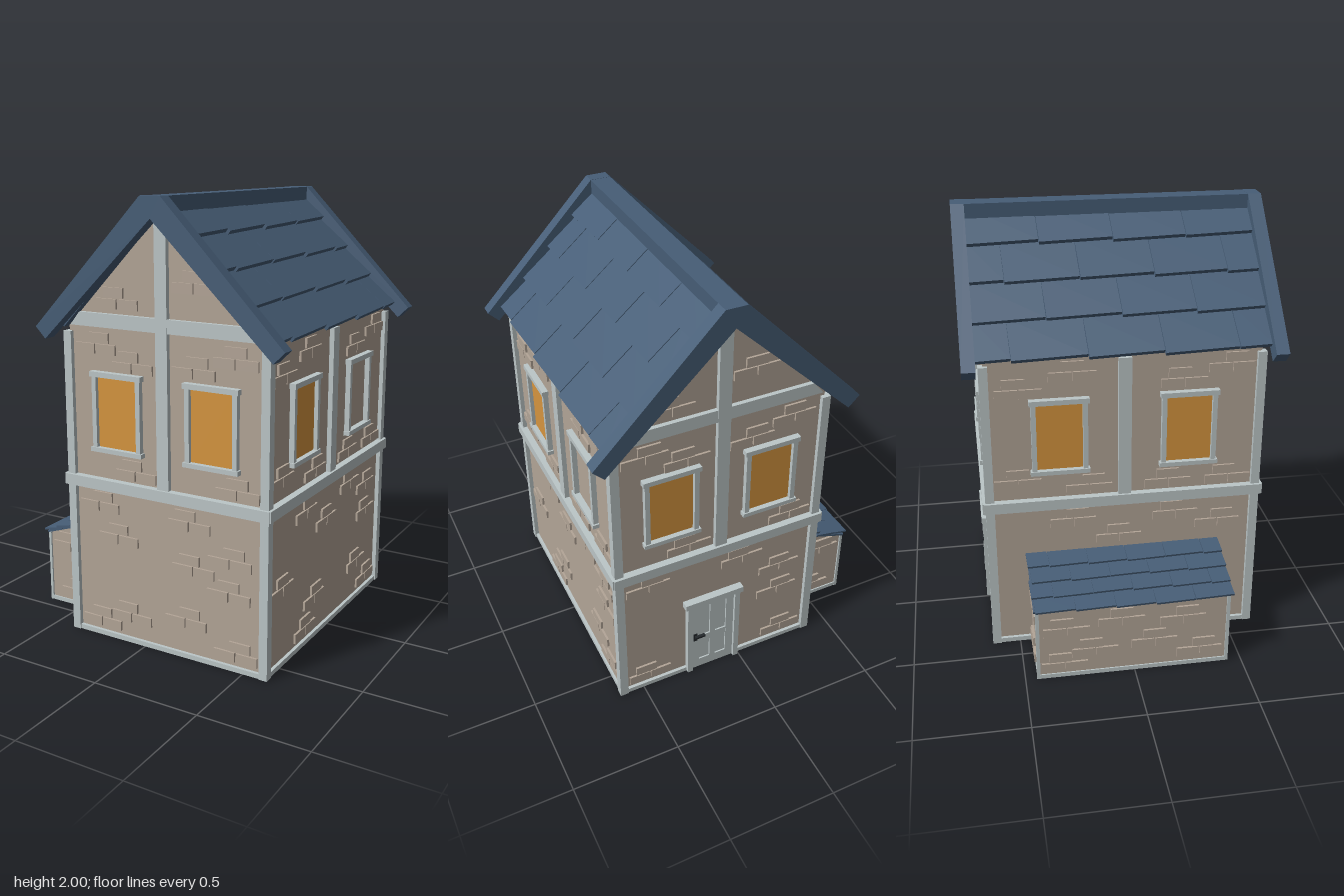
import * as THREE from 'three';
import { mergeGeometries } from 'three/addons/utils/BufferGeometryUtils.js';

const mat = (name, color, side = THREE.FrontSide) => {
  const m = new THREE.MeshStandardMaterial({ color, side });
  m.name = name;
  return m;
};

export function createModel() {
  const stone = mat('stone', 0xb3a597, THREE.DoubleSide);
  const trim = mat('pale trim', 0xbcc6c7);
  const glow = mat('amber glass', 0xd6953f);
  const slate = mat('blue slate', 0x465d76);
  const iron = mat('dark iron', 0x24282c);

  const model = new THREE.Group();
  model.name = 'house';
  const CX = 0.11;               // centre line of the main house
  const HW = 0.49, HD = 0.61;    // half width and half depth of its walls

  const add = (parent, name, geometry, material) => {
    const mesh = new THREE.Mesh(geometry, material);
    mesh.name = name;
    parent.add(mesh);
    return mesh;
  };
  const group = (parent, name, x = 0, y = 0, z = 0, ry = 0) => {
    const g = new THREE.Group();
    g.name = name;
    g.position.set(x, y, z);
    g.rotation.y = ry;
    parent.add(g);
    return g;
  };
  // Box given by its min and max corners
  const block = (x0, x1, y0, y1, z0, z1) =>
    new THREE.BoxGeometry(x1 - x0, y1 - y0, z1 - z0)
      .translate((x0 + x1) / 2, (y0 + y1) / 2, (z0 + z1) / 2);
  const outline = pts => new THREE.Shape(pts.map(p => new THREE.Vector2(...p)));

  // Clusters of three bricks: [centre, bottom]
  const addBricks = (parent, spots) => {
    const parts = spots.flatMap(([u, y], i) => {
      const shift = (i % 3 - 1) * 0.02;
      return [[-0.054, 0], [0.054, 0], [shift, 0.049]].map(([du, dy]) =>
        block(u + du - 0.051, u + du + 0.051, y + dy, y + dy + 0.044, -0.012, 0.01));
    });
    add(parent, 'bricks', mergeGeometries(parts), stone);
  };

  // Window: glass plate, jambs, head and sill
  const addWindow = (parent, u, lit) => {
    const w = group(parent, 'window', u);
    if (lit) add(w, 'glass', block(-0.105, 0.105, 0.9, 1.225, 0, 0.006), glow);
    for (const s of [-1, 1])
      add(w, 'jamb', block(s * 0.114 - 0.011, s * 0.114 + 0.011, 0.9, 1.225, 0, 0.024), trim);
    add(w, 'head', block(-0.133, 0.133, 1.222, 1.245, 0, 0.03), trim);
    add(w, 'sill', block(-0.133, 0.133, 0.885, 0.905, 0, 0.03), trim);
  };

  // Wall in its own frame: x along the wall, z outwards
  const addWall = (name, half, gable, x, z, ry, bricks, lit) => {
    const g = group(model, name, x, 0, z, ry);
    const pts = [[-half, 0], [half, 0], [half, 1.435], [-half, 1.435]];
    if (gable) pts.splice(3, 0, [0, 1.935]);
    add(g, 'wall panel', new THREE.ShapeGeometry(outline(pts)), stone);
    addBricks(g, bricks);
    add(g, 'belt beam', block(-half - 0.027, half + 0.027, 0.71, 0.76, -0.01, 0.033), trim);
    add(g, 'ground sill', block(-half, half, 0, 0.022, -0.01, 0.015), trim);
    add(g, 'centre post', block(-0.029, 0.029, 0.76, gable ? 1.9 : 1.42, -0.01, 0.022), trim);
    if (gable) {
      const tie = outline([[-0.47, 1.44], [0.47, 1.44], [0.42, 1.5], [-0.42, 1.5]]);
      add(g, 'tie beam', new THREE.ExtrudeGeometry(tie, { depth: 0.02, bevelEnabled: false }), trim);
    }
    const c = gable ? 0.237 : 0.29;
    lit.forEach((on, i) => addWindow(g, i ? c : -c, on));
    return g;
  };

  const frontBricks = [[-0.23, 1.52], [0.15, 1.61], [-0.35, 1.32], [-0.16, 1.25], [0.345, 1.32],
    [0.145, 1.26], [-0.15, 0.77], [0.355, 0.77], [-0.35, 0.6], [0.12, 0.59], [-0.25, 0.46],
    [0.32, 0.46], [0.14, 0.39], [0.315, 0.31], [0.1, 0.14], [-0.185, 0.095], [-0.35, 0.04], [0.35, 0.04]];
  const sideBricks = [[-0.465, 1.25], [-0.23, 1.32], [0.48, 1.32], [0.265, 1.26], [-0.48, 0.815],
    [-0.16, 0.77], [0.48, 0.77], [0.2, 0.77], [-0.235, 0.6], [0.24, 0.6], [-0.025, 0.5], [0.44, 0.54],
    [0.45, 0.4], [-0.465, 0.32], [-0.14, 0.16], [0.35, 0.16], [-0.23, 0.04], [0.47, 0.04]];
  const clearOfDoor = ([u, y]) => y > 0.48 || u < -0.3 || u > 0.24;

  addWall('front wall', HW, true, CX, HD, 0, frontBricks, [true, true]);
  addWall('right wall', HD, false, CX + HW, 0, Math.PI / 2, sideBricks, [true, false]);
  const back = addWall('back wall', HW, true, CX, -HD, Math.PI, frontBricks.filter(clearOfDoor), [true, true]);
  addWall('left wall', HD, false, CX - HW, 0, -Math.PI / 2, sideBricks.filter(b => b[1] >= 0.5), [true, true]);

  // Corner posts
  for (const sx of [-1, 1]) for (const sz of [-1, 1])
    add(model, 'corner post', block(-0.02, 0.02, 0, 1.41, -0.02, 0.02), trim)
      .position.set(CX + sx * HW, 0, sz * HD);

  // Back door
  const door = group(back, 'door', -0.03);
  add(door, 'door leaf', block(-0.11, 0.11, 0, 0.43, 0, 0.008), trim);
  for (const s of [-1, 1]) {
    add(door, 'door jamb', block(s * 0.122 - 0.013, s * 0.122 + 0.013, 0, 0.43, 0, 0.03), trim);
    add(door, 'stile', block(s * 0.09 - 0.02, s * 0.09 + 0.02, 0.01, 0.43, 0, 0.016), trim);
  }
  add(door, 'mullion', block(-0.014, 0.014, 0.01, 0.43, 0, 0.016), trim);
  for (const [y0, y1] of [[0.01, 0.05], [0.17, 0.21], [0.4, 0.43]])
    add(door, 'rail', block(-0.1, 0.1, y0, y1, 0, 0.015), trim);
  add(door, 'door head', block(-0.148, 0.148, 0.43, 0.46, 0, 0.036), trim);
  add(door, 'handle plate', block(-0.1, -0.08, 0.19, 0.235, 0.014, 0.02), iron);
  add(door, 'handle', block(-0.095, -0.045, 0.215, 0.225, 0.02, 0.034), iron);

  // Staggered, slightly crooked tiles; x runs down the slope, y is outwards
  const addTiles = (parent, { rows, start, rowLen, width, z0, z1, thick, lift, skew }) => {
    for (let r = 0; r < rows; r++) {
      const offset = r % 2 ? width / 2 : 0;
      for (let k = -9; k < 9; k++) {
        const a = Math.max(z0, k * width + offset), b = Math.min(z1, (k + 1) * width + offset);
        if (b - a < 0.02) continue;
        const len = rowLen + 0.025;
        const t = add(parent, 'tile', new THREE.BoxGeometry(len, thick, b - a - 0.003), slate);
        const wobble = ((k * 7 + r * 5 + 90) % 4) * 0.002;
        t.position.set(start + (r + 1) * rowLen - len / 2 + wobble, lift, (a + b) / 2);
        t.rotation.set(0, skew, thick / rowLen);
      }
    }
  };

  // Main roof: two tiled slopes
  const pitch = Math.atan2(0.57, 0.555);
  for (const side of [0, 1]) {
    const holder = group(model, side ? 'left roof slope' : 'right roof slope', CX, 2.046, 0, side * Math.PI);
    const slope = group(holder, 'slope');
    slope.rotation.z = -pitch;
    add(slope, 'roof deck', block(0.06, 0.785, -0.076, -0.06, -0.645, 0.645), slate);
    addTiles(slope, { rows: 4, start: 0.058, rowLen: 0.186, width: 0.33, z0: -0.645, z1: 0.645,
      thick: 0.022, lift: -0.051, skew: 0.035 });
  }
  add(model, 'ridge beam', block(CX - 0.048, CX + 0.048, 1.925, 1.999, -0.645, 0.645), slate);

  // Barge boards on both gables
  const barge = outline([[-0.605, 1.43], [-0.555, 1.38], [0, 1.91], [0.555, 1.38], [0.605, 1.43],
    [0.048, 2], [-0.048, 2]]);
  for (const z of [-0.7, 0.64])
    add(model, 'barge board', new THREE.ExtrudeGeometry(barge, { depth: 0.06, bevelEnabled: false }), slate)
      .position.set(CX, 0, z);

  // Lean-to on the left side
  const shed = group(model, 'lean-to');
  const X0 = -0.685, X1 = -0.38, ZF = 0.43, ZB = -0.44;
  const endShape = outline([[X0, 0], [X1, 0], [X1, 0.455], [X0, 0.355]]);
  for (const [z, s] of [[ZF, 1], [ZB, -1]]) {
    const end = group(shed, 'lean-to end', 0, 0, z);
    add(end, 'end panel', new THREE.ShapeGeometry(endShape), stone);
    addBricks(end, [[-0.555, 0.275], [-0.515, 0.04]]);
    add(end, 'end sill', block(X0, X1, 0, 0.02, -0.006, 0.006), trim);
    add(end, 'end post', block(X0 - 0.006, X0 + 0.008, 0, 0.355, -0.008, 0.008), trim);
  }
  const outer = group(shed, 'lean-to outer wall', X0, 0, 0, -Math.PI / 2);
  add(outer, 'outer panel', new THREE.ShapeGeometry(outline([[ZB, 0], [ZF, 0], [ZF, 0.355], [ZB, 0.355]])), stone);
  addBricks(outer, [[-0.31, 0.22], [-0.06, 0.25], [0.22, 0.23], [-0.18, 0.1], [0.09, 0.12], [0.3, 0.05], [-0.32, 0.035]]);
  add(outer, 'outer sill', block(ZB, ZF, 0, 0.02, -0.006, 0.006), trim);

  // Lean-to roof
  const shedRoof = group(shed, 'lean-to roof', -0.385, 0.474, 0, Math.PI);
  const shedSlope = group(shedRoof, 'slope');
  shedSlope.rotation.z = -Math.atan2(0.105, 0.31);
  add(shedSlope, 'roof deck', block(0, 0.325, -0.016, -0.006, -0.445, 0.455), slate);
  addTiles(shedSlope, { rows: 4, start: 0, rowLen: 0.085, width: 0.18, z0: -0.45, z1: 0.46,
    thick: 0.01, lift: -0.002, skew: 0.03 });

  return model;
}
